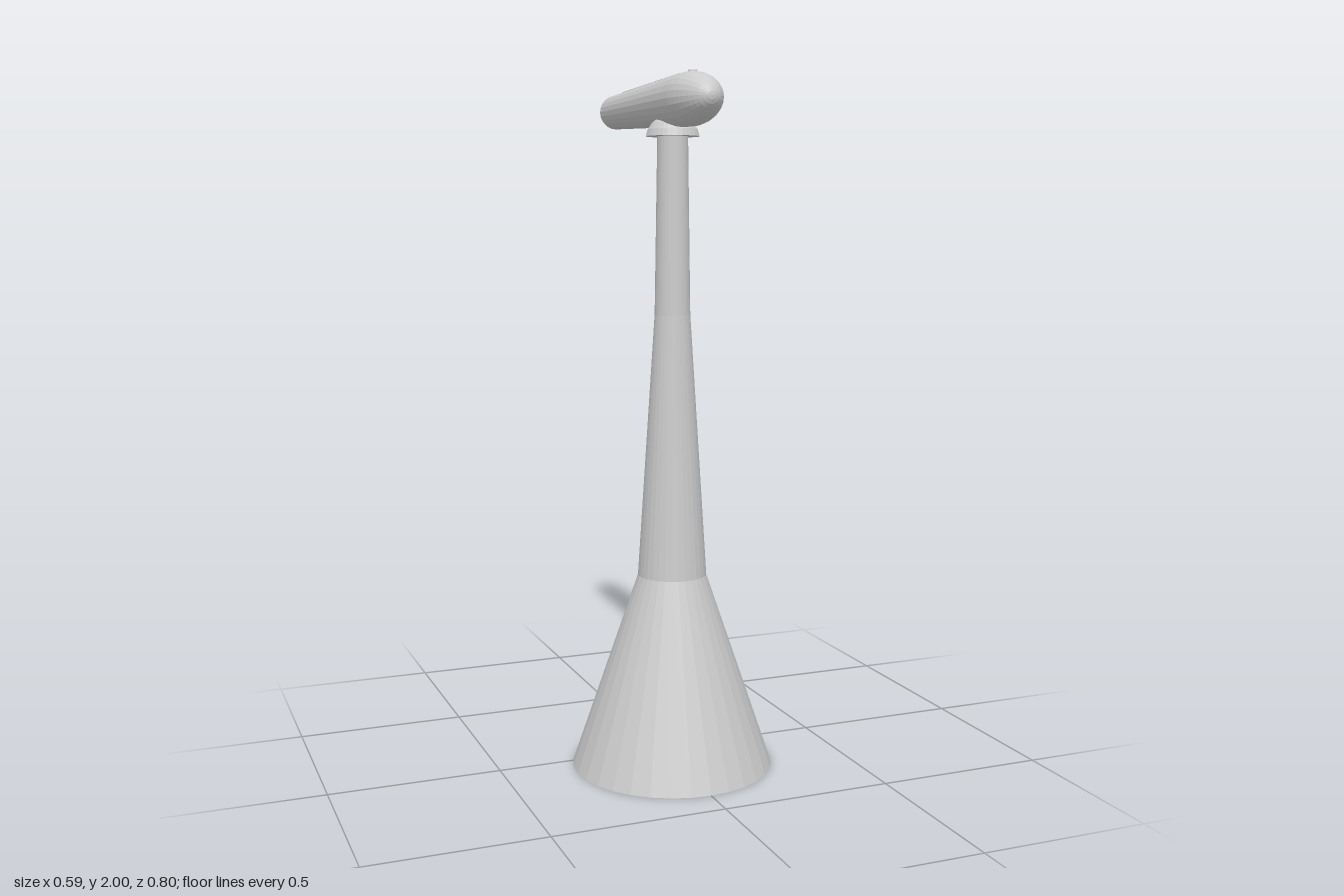
import * as THREE from 'three';

const AXIS_Z = 0.105; // tower axis
const HUB_Y = 1.924; // nacelle axis height

const grey = new THREE.MeshStandardMaterial({ color: 0xcccccc, flatShading: true, side: THREE.DoubleSide });

// Lathe from [radius, height] pairs
function lathe(name, profile, sides) {
  const points = profile.map(([r, y]) => new THREE.Vector2(r, y));
  const mesh = new THREE.Mesh(new THREE.LatheGeometry(points, sides), grey);
  mesh.name = name;
  return mesh;
}

export function createModel() {
  const model = new THREE.Group();
  model.name = 'turbineTower';

  // Flared base, open underneath
  const base = lathe('flaredBase', [[0.295, 0], [0.1, 0.57]], 32);
  // Tapered shaft
  const shaft = lathe('towerShaft', [[0.1, 0.57], [0.051, 1.33], [0.043, 1.86]], 32);
  // Domed bearing collar under the nacelle
  const collar = lathe('bearingCollar',
    [[0.042, 1.83], [0.076, 1.83], [0.07, 1.85], [0.058, 1.868], [0.04, 1.882], [0.018, 1.888], [0, 1.889]], 32);
  for (const part of [base, shaft, collar]) {
    part.position.z = AXIS_Z;
    model.add(part);
  }

  // Nacelle: chamfered tail, long taper, elliptical nose
  const profile = [[0, -0.4], [0.029, -0.4], [0.044, -0.388], [0.051, -0.367], [0.061, -0.1], [0.071, 0.14]];
  for (let i = 0; i <= 10; i++) {
    const a = (i / 10) * Math.PI / 2;
    profile.push([0.074 * Math.cos(a), 0.235 + 0.15 * Math.sin(a)]);
  }
  const nacelle = lathe('nacelle', profile, 24);
  nacelle.rotation.x = Math.PI / 2;
  nacelle.position.y = HUB_Y;
  model.add(nacelle);

  // Narrow flat strip along the top, sloping with the taper
  const strip = new THREE.Mesh(new THREE.BoxGeometry(0.026, 0.006, 0.46), grey);
  strip.name = 'topStrip';
  strip.position.set(0, 1.9845, -0.04);
  strip.rotation.x = -0.04;
  model.add(strip);

  // Small sensor plate flush with the top behind the nose
  const sensor = new THREE.Mesh(new THREE.CylinderGeometry(0.014, 0.016, 0.012, 8), grey);
  sensor.name = 'sensorPlate';
  sensor.position.set(0, 1.994, 0.25);
  model.add(sensor);

  return model;
}
